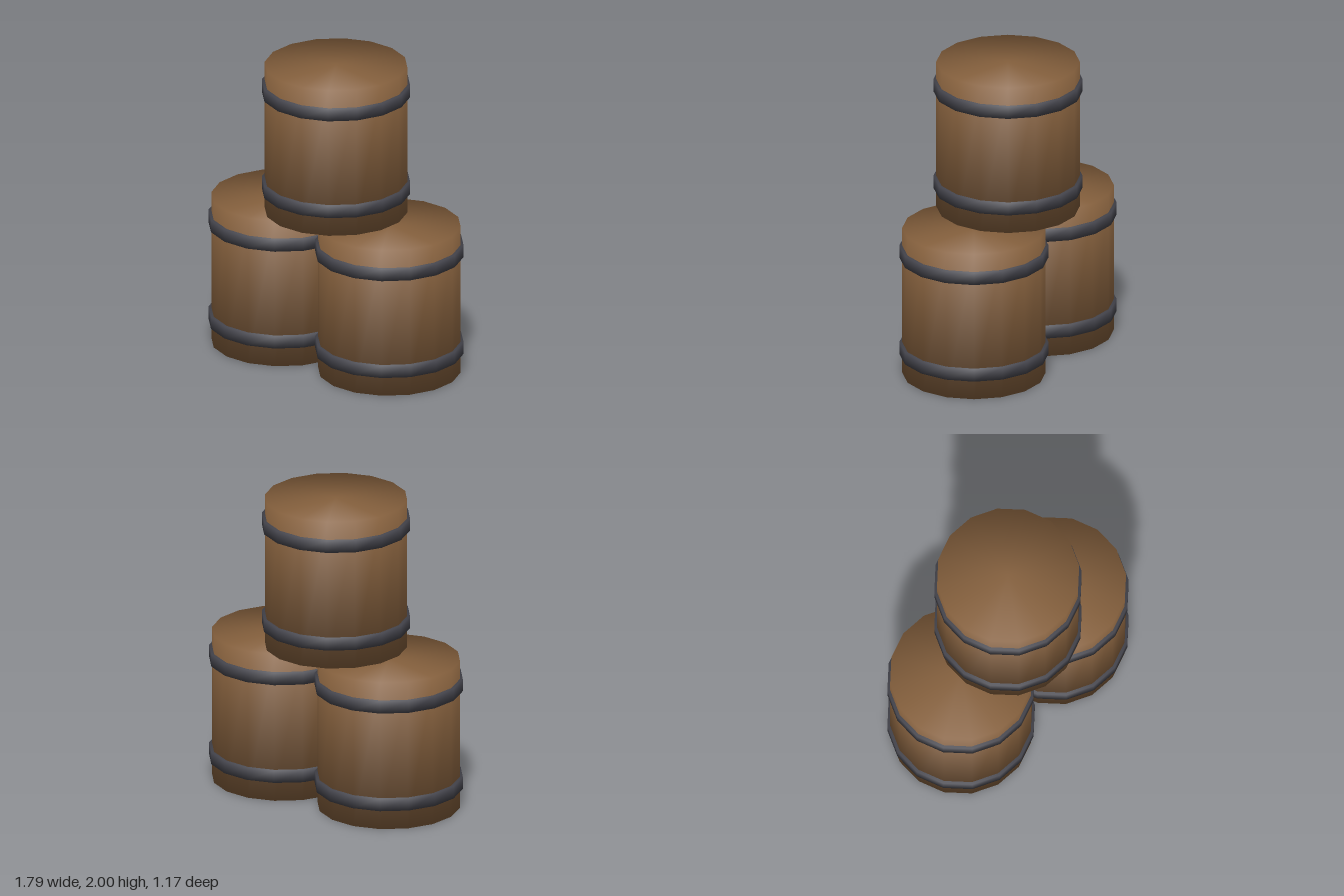
import * as THREE from 'three';

const SIDES = 16;
const wood = new THREE.MeshStandardMaterial({ color: 0x85603d });
const iron = new THREE.MeshStandardMaterial({ color: 0x45454d });

// Capped drum whose normals blend softly over the rims
function softDrum(radius, height) {
  const geo = new THREE.CylinderGeometry(radius, radius, height, SIDES);
  const pos = geo.attributes.position;
  const n = new THREE.Vector3();
  for (let i = 0; i < pos.count; i++) {
    n.set(pos.getX(i) / radius, Math.sign(pos.getY(i)), pos.getZ(i) / radius).normalize();
    geo.attributes.normal.setXYZ(i, n.x, n.y, n.z);
  }
  return geo;
}

const bodyGeo = softDrum(0.46, 1);
const hoopGeo = softDrum(0.478, 0.083);

function part(name, geo, material, y) {
  const mesh = new THREE.Mesh(geo, material);
  mesh.name = name;
  mesh.position.y = y;
  return mesh;
}

// One barrel standing on its own base: body and two hoops
function barrel(name, x, y, z) {
  const group = new THREE.Group();
  group.name = name;
  group.add(
    part('body', bodyGeo, wood, 0.5),
    part('lowerHoop', hoopGeo, iron, 0.17),
    part('upperHoop', hoopGeo, iron, 0.837)
  );
  group.position.set(x, y, z);
  return group;
}

export function createModel() {
  const model = new THREE.Group();
  model.name = 'barrelStack';
  model.add(
    barrel('leftBarrel', 0.415, 0, -0.105),
    barrel('rightBarrel', -0.415, 0, 0.105),
    barrel('topBarrel', 0, 1, 0)
  );
  return model;
}
